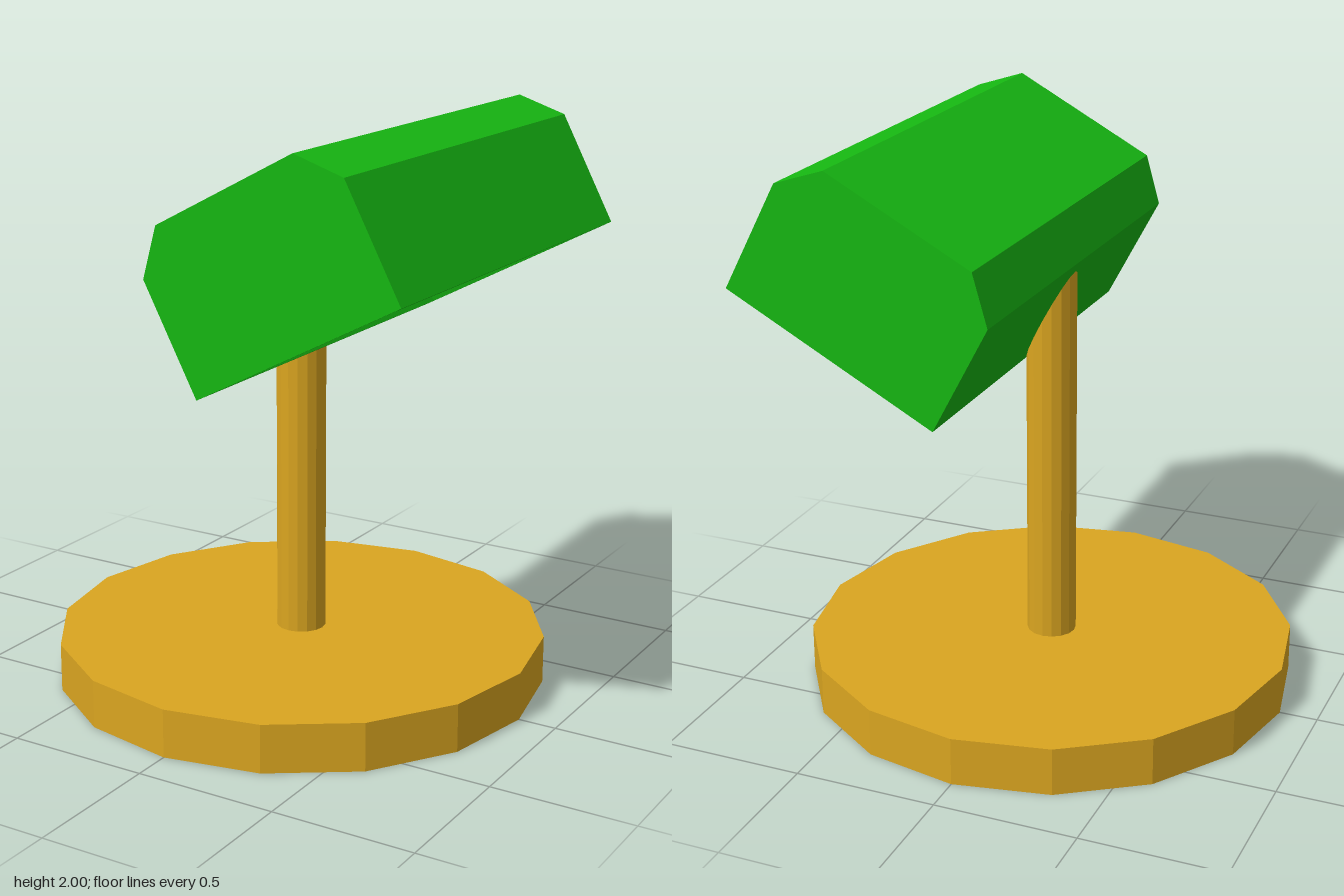
import * as THREE from 'three';

const gold = new THREE.MeshStandardMaterial({ color: 0xdaa520, flatShading: true });
const green = new THREE.MeshStandardMaterial({ color: 0x16b812, flatShading: true });

// Flat-faced geometry from convex polygons, each counter-clockwise from outside
function fromFaces(faces) {
  const pos = [];
  for (const f of faces)
    for (let i = 1; i < f.length - 1; i++) pos.push(...f[0], ...f[i], ...f[i + 1]);
  const geo = new THREE.BufferGeometry();
  geo.setAttribute('position', new THREE.Float32BufferAttribute(pos, 3));
  geo.computeVertexNormals();
  return geo;
}

function mesh(name, geo, material) {
  const m = new THREE.Mesh(geo, material);
  m.name = name;
  return m;
}

// Bevelled outer shell, open underneath
function shellGeometry(length, halfWidth) {
  const profile = [[0, 0], [0, 0.412], [0.127, 0.544], [length - 0.127, 0.544], [length, 0.412], [length, 0]];
  const front = profile.map(([x, y]) => [x, y, halfWidth]);
  const back = profile.map(([x, y]) => [x, y, -halfWidth]);
  const faces = [[...front].reverse(), back];
  for (let i = 0; i < profile.length - 1; i++)
    faces.push([front[i], front[i + 1], back[i + 1], back[i]]);
  return fromFaces(faces);
}

// Rim and stepped, tapering recess: rings of [inset along length, depth, half width]
function recessGeometry(length, halfWidth) {
  const rings = [
    [0, 0, halfWidth],
    [0.05, 0, 0.735],
    [0.05, 0.125, 0.7],
    [0.05, 0.125, 0.672],
    [0.05, 0.25, 0.658],
  ].map(([inset, y, z]) => [
    [inset, y, z], [length - inset, y, z], [length - inset, y, -z], [inset, y, -z],
  ]);
  const faces = [[...rings[rings.length - 1]].reverse()];
  for (let r = 0; r < rings.length - 1; r++)
    for (let i = 0; i < 4; i++) {
      const j = (i + 1) % 4;
      faces.push([rings[r][i], rings[r + 1][i], rings[r + 1][j], rings[r][j]]);
    }
  return fromFaces(faces);
}

export function createModel() {
  const model = new THREE.Group();
  model.name = 'hoodedStand';

  // Round base
  const base = mesh('base', new THREE.CylinderGeometry(0.865, 0.865, 0.17, 16), gold);
  base.position.y = 0.085;
  model.add(base);

  // Pole, its top cut at a slant to meet the back of the hood
  const poleGeo = new THREE.CylinderGeometry(0.087, 0.087, 1, 16);
  const p = poleGeo.attributes.position;
  for (let i = 0; i < p.count; i++)
    p.setY(i, p.getY(i) > 0 ? 1.365 - 1.85 * p.getX(i) : 0.16);
  poleGeo.computeVertexNormals();
  model.add(mesh('pole', poleGeo, gold));

  // Tilted hood
  const length = 0.8155, halfWidth = 0.77;
  const hood = new THREE.Group();
  hood.name = 'hood';
  hood.add(mesh('hoodShell', shellGeometry(length, halfWidth), green));
  hood.add(mesh('hoodRecess', recessGeometry(length, halfWidth), green));
  hood.position.set(0.085, 1.2, 0);
  hood.rotation.z = 0.489;
  model.add(hood);

  return model;
}
